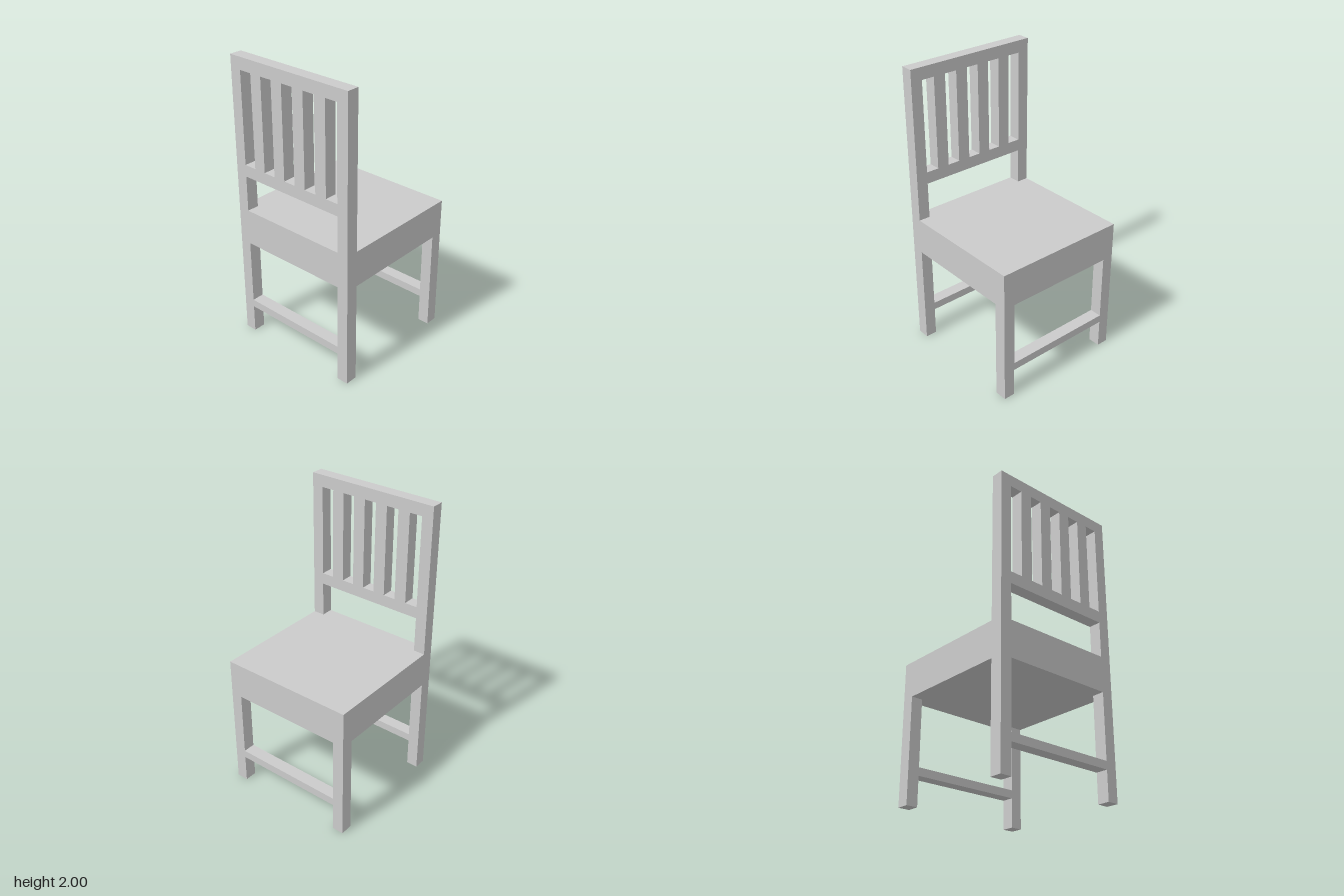
import * as THREE from 'three';

const X = 0.475, Z = 0.47; // half depth and half width
const T = 0.085;           // thickness of legs, posts and slats
const SEAT_BOTTOM = 0.71, SEAT_TOP = 0.957;

export function createModel() {
  const group = new THREE.Group();
  group.name = 'chair';
  const material = new THREE.MeshStandardMaterial({ color: 0xcccccc, flatShading: true });

  // Box given by its extents on each axis
  function box(name, [x0, x1], [y0, y1], [z0, z1]) {
    const mesh = new THREE.Mesh(new THREE.BoxGeometry(x1 - x0, y1 - y0, z1 - z0), material);
    mesh.position.set((x0 + x1) / 2, (y0 + y1) / 2, (z0 + z1) / 2);
    mesh.name = name;
    group.add(mesh);
  }

  const back = [-X, -X + T], front = [X - T, X];
  const near = [Z - T + 0.005, Z], far = [-Z, -Z + T - 0.005];
  const inner = [far[1], near[0]];

  // Deep seat block
  box('seat', [-X, X], [SEAT_BOTTOM, SEAT_TOP], [-Z, Z]);

  // Four legs, with a low stretcher across each pair
  for (const [side, x] of [['back', back], ['front', front]]) {
    box(side + 'RightLeg', x, [0, SEAT_BOTTOM], near);
    box(side + 'LeftLeg', x, [0, SEAT_BOTTOM], far);
    box(side + 'Stretcher', x, [0.2, 0.255], inner);
  }

  // Backrest: two posts, two rails and four upright slats
  box('rightPost', back, [SEAT_TOP, 2], near);
  box('leftPost', back, [SEAT_TOP, 2], far);
  box('lowerRail', back, [1.205, 1.287], inner);
  box('topRail', back, [1.917, 2], inner);
  for (let i = 0; i < 4; i++) {
    const z = (i - 1.5) * 0.172;
    box('slat' + (i + 1), back, [1.287, 1.917], [z - T / 2, z + T / 2]);
  }
  return group;
}
